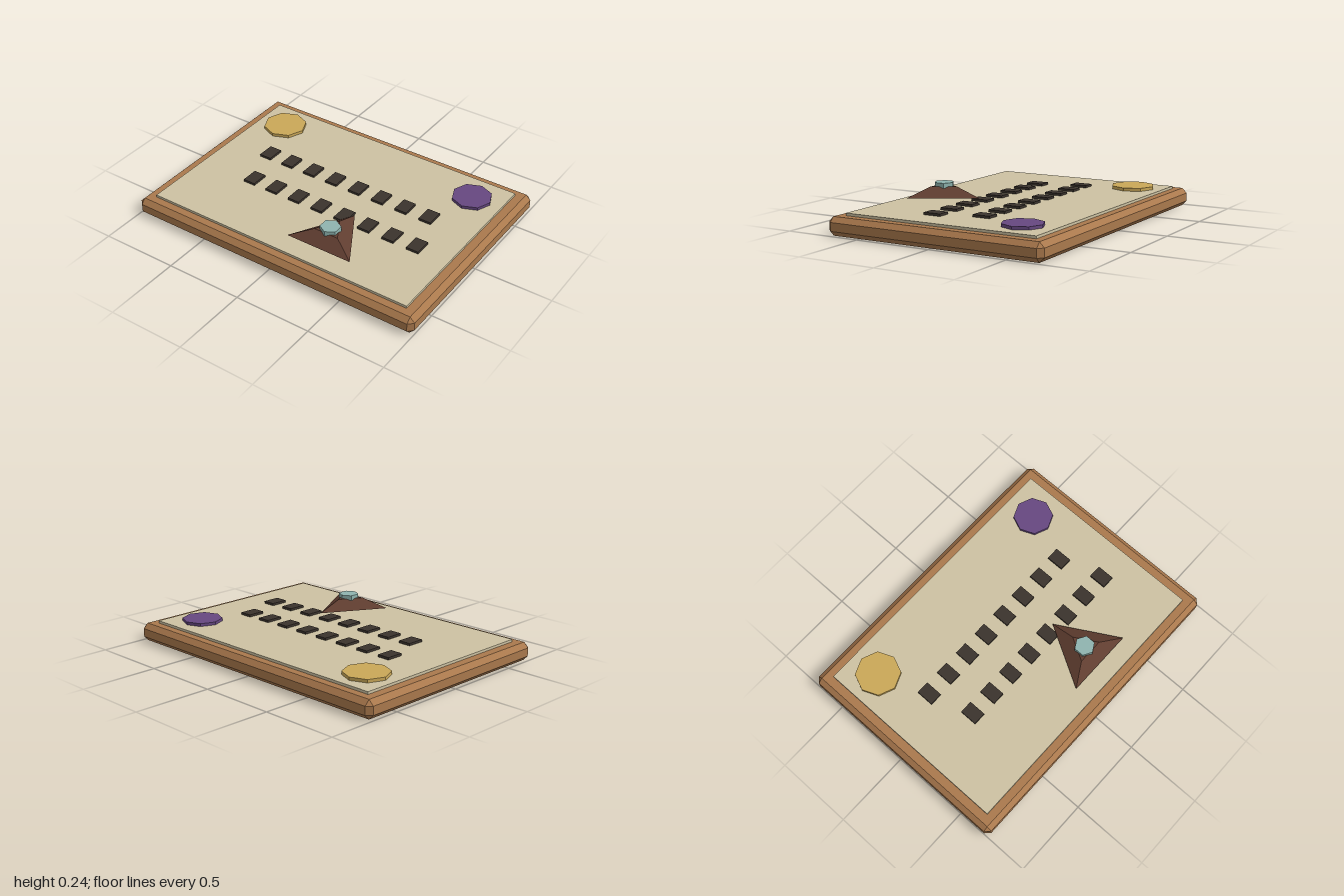
import * as THREE from 'three';
import { ConvexGeometry } from 'three/addons/geometries/ConvexGeometry.js';

const paint = (name, color) => {
  const m = new THREE.MeshStandardMaterial({ color });
  m.name = name;
  return m;
};

export function createModel() {
  const wood = paint('wood', 0xaa794d);
  const sand = paint('sand', 0xcdc2a2);
  const gold = paint('gold', 0xcaa858);
  const purple = paint('purple', 0x664880);
  const charcoal = paint('charcoal', 0x3b332d);
  const brown = paint('brown', 0x603d30);
  const teal = paint('teal', 0x8fb4af);

  const model = new THREE.Group();
  model.name = 'gameBoard';

  const add = (name, geometry, material, x, y, z) => {
    const mesh = new THREE.Mesh(geometry, material);
    mesh.name = name;
    mesh.position.set(x, y, z);
    model.add(mesh);
    return mesh;
  };

  // Flat-faced prism or frustum standing between two heights
  const prism = (name, material, rTop, rBottom, sides, x, z, y0, y1) => {
    const g = new THREE.CylinderGeometry(rTop, rBottom, y1 - y0, sides).toNonIndexed();
    g.computeVertexNormals();
    return add(name, g, material, x, (y0 + y1) / 2, z);
  };

  // Board with a single bevel on every edge
  const X = 1, Z = 0.72, H = 0.115, B = 0.031;
  const corners = [];
  for (const sx of [-1, 1]) for (const sz of [-1, 1]) for (const top of [0, 1]) {
    const yEdge = top ? H : 0;
    const ySide = top ? H - B : B;
    corners.push(
      new THREE.Vector3(sx * (X - B), yEdge, sz * (Z - B)),
      new THREE.Vector3(sx * X, ySide, sz * (Z - B)),
      new THREE.Vector3(sx * (X - B), ySide, sz * Z));
  }
  add('boardBase', new ConvexGeometry(corners), wood, 0, 0, 0);

  // Playing surface
  add('playingField', new THREE.BoxGeometry(1.83, 0.025, 1.28), sand, 0, 0.1185, 0);

  // Corner discs
  prism('goldDisc', gold, 0.142, 0.142, 8, -0.72, -0.443, 0.125, 0.151);
  prism('purpleDisc', purple, 0.127, 0.127, 8, 0.717, -0.443, 0.125, 0.15);

  // Two staggered rows of tiles
  const tile = new THREE.BoxGeometry(0.083, 0.02, 0.113);
  for (let i = 0; i < 8; i++) {
    add('backTile', tile, charcoal, -0.602 + i * 0.172, 0.136, -0.122);
    add('frontTile', tile, charcoal, -0.516 + i * 0.172, 0.136, 0.159);
  }

  // Three-sided pyramid with a hexagonal cap
  prism('pyramid', brown, 0.095, 0.257, 3, 0.237, 0.4, 0.157, 0.216).rotation.y = Math.PI;
  prism('pyramidCap', teal, 0.064, 0.064, 6, 0.237, 0.4, 0.207, 0.239);

  return model;
}
